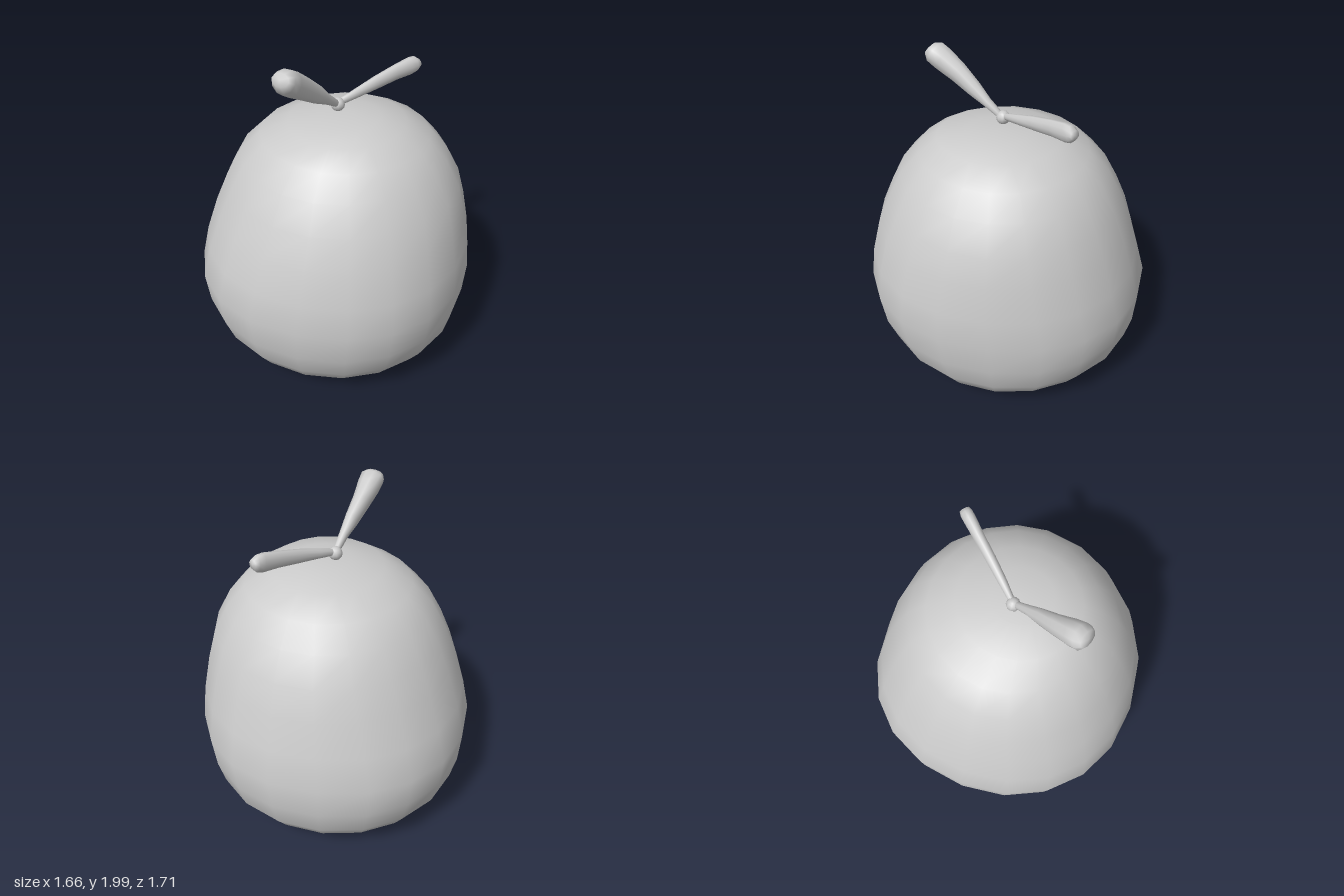
import * as THREE from 'three';

const V = (x, y, z) => new THREE.Vector3(x, y, z);

// Smooth closed skin over rings of points, with a pole at each end
function loft(name, rings, first, last) {
  const n = rings[0].length;
  const pts = [first, ...rings.flat(), last];
  const end = pts.length - 1;
  const idx = [];
  const at = (r, i) => 1 + r * n + (i % n);
  for (let i = 0; i < n; i++) {
    idx.push(0, at(0, i), at(0, i + 1));
    for (let r = 0; r < rings.length - 1; r++) {
      idx.push(at(r, i), at(r + 1, i), at(r, i + 1));
      idx.push(at(r, i + 1), at(r + 1, i), at(r + 1, i + 1));
    }
    idx.push(at(rings.length - 1, i), end, at(rings.length - 1, i + 1));
  }
  const geo = new THREE.BufferGeometry().setFromPoints(pts);
  geo.setIndex(idx);
  geo.computeVertexNormals();
  const mesh = new THREE.Mesh(geo, new THREE.MeshStandardMaterial({ color: 0xcccccc }));
  mesh.name = name;
  return mesh;
}

// Body sections: height, extent to -x, +x, -z, +z
const BODY = [
  [0.03, 0.54, 0.50, 0.53, 0.48],
  [0.08, 0.65, 0.62, 0.64, 0.60],
  [0.15, 0.73, 0.71, 0.73, 0.70],
  [0.27, 0.79, 0.78, 0.81, 0.78],
  [0.43, 0.825, 0.815, 0.845, 0.835],
  [0.63, 0.835, 0.83, 0.855, 0.855],
  [0.82, 0.79, 0.815, 0.80, 0.83],
  [1.03, 0.72, 0.775, 0.74, 0.775],
  [1.2, 0.65, 0.73, 0.67, 0.70],
  [1.36, 0.56, 0.645, 0.585, 0.62],
  [1.48, 0.44, 0.54, 0.47, 0.51],
  [1.56, 0.27, 0.40, 0.31, 0.40],
  [1.595, 0.08, 0.26, 0.13, 0.23],
];

function body() {
  const n = 20;
  const rings = BODY.map(([y, l, r, b, f]) => {
    // squarest at the widest height, rounder towards both ends
    const power = 2.2 - 0.22 * Math.min(1, Math.abs(y - 0.63) / 0.6);
    const bend = (v) => Math.sign(v) * Math.pow(Math.abs(v), 2 / power);
    return Array.from({ length: n }, (_, i) => {
      const a = (i / n) * Math.PI * 2;
      return V((r - l) / 2 + bend(Math.cos(a)) * (l + r) / 2, y,
        (f - b) / 2 + bend(Math.sin(a)) * (f + b) / 2);
    });
  });
  return loft('body', rings, V(-0.01, 0, -0.01), V(0.1, 1.605, 0.04));
}

// Club-shaped leaf: sections give position along the path, half width, half height
function leaf(name, path, sections) {
  const curve = new THREE.CatmullRomCurve3(path);
  const n = 10;
  const rings = sections.map(([t, w, h]) => {
    const c = curve.getPointAt(t);
    const dir = curve.getTangentAt(t);
    const side = V(0, 1, 0).cross(dir).normalize();
    const up = side.clone().cross(dir);
    return Array.from({ length: n }, (_, i) => {
      const a = (i / n) * Math.PI * 2;
      return c.clone().addScaledVector(side, Math.cos(a) * w).addScaledVector(up, Math.sin(a) * h);
    });
  });
  return loft(name, rings, path[0], path[path.length - 1]);
}

export function createModel() {
  const model = new THREE.Group();
  model.add(body());

  // Knob joining the two leaves
  const knob = new THREE.Mesh(
    new THREE.SphereGeometry(0.04, 10, 8),
    new THREE.MeshStandardMaterial({ color: 0xcccccc }));
  knob.name = 'stemKnob';
  knob.position.set(0.01, 1.64, 0.03);
  model.add(knob);

  model.add(leaf('frontLeaf',
    [V(0.01, 1.645, 0.04), V(-0.03, 1.72, 0.14), V(-0.1, 1.835, 0.29), V(-0.165, 1.955, 0.47)],
    [[0.02, 0.02, 0.02], [0.2, 0.027, 0.03], [0.4, 0.04, 0.052], [0.62, 0.052, 0.064],
      [0.82, 0.068, 0.072], [0.93, 0.073, 0.066], [0.99, 0.055, 0.036]]));

  model.add(leaf('backLeaf',
    [V(0.02, 1.65, 0.02), V(0.13, 1.69, -0.1), V(0.26, 1.735, -0.25), V(0.385, 1.765, -0.39)],
    [[0.02, 0.018, 0.02], [0.2, 0.025, 0.028], [0.45, 0.03, 0.04], [0.7, 0.032, 0.047],
      [0.88, 0.036, 0.054], [0.95, 0.036, 0.048], [0.995, 0.03, 0.025]]));

  return model;
}
